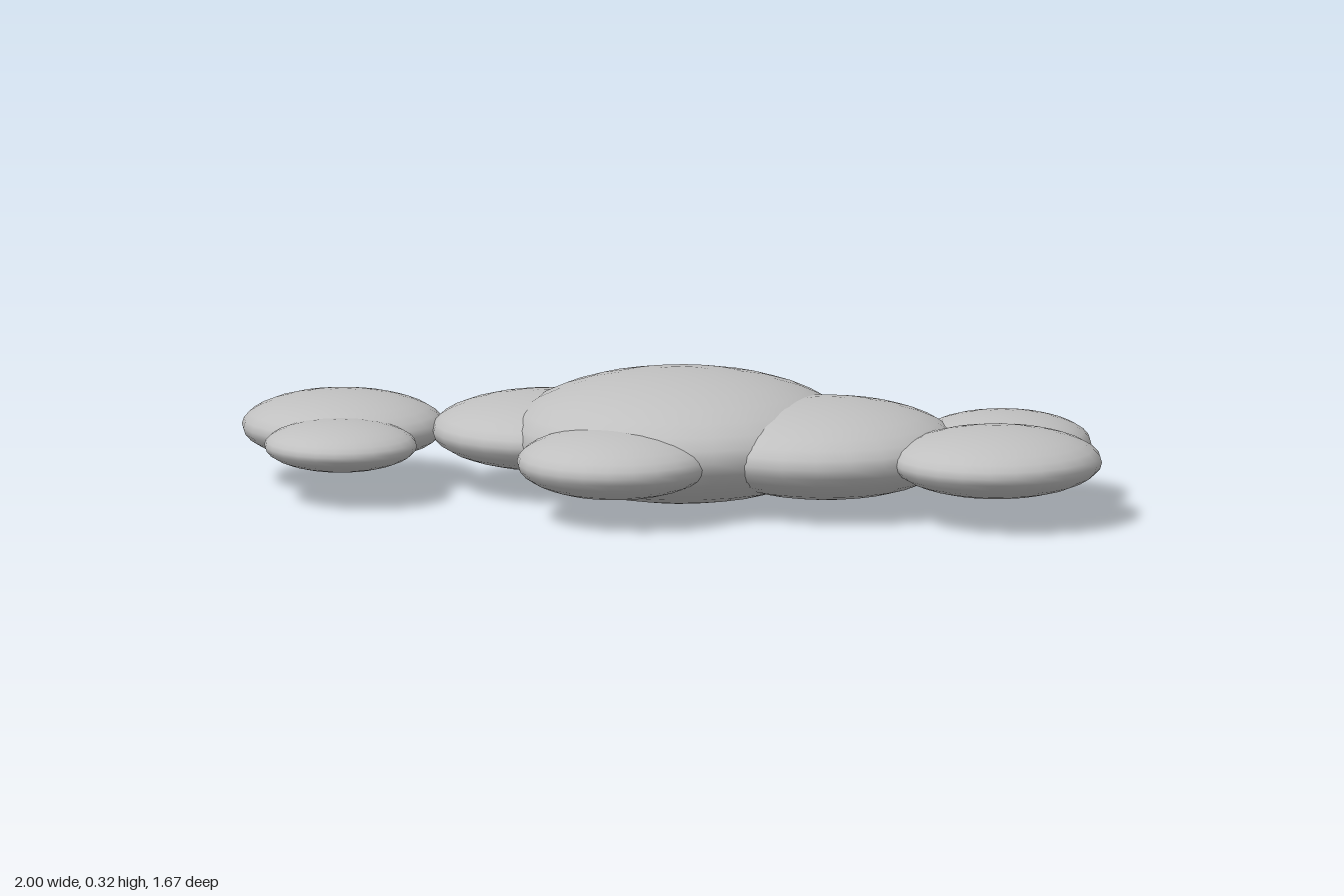
import * as THREE from 'three';

export function createModel() {
  const group = new THREE.Group();
  const grey = new THREE.MeshStandardMaterial({ color: 0xc0c0c0 });
  grey.name = 'soft grey';

  // One unit sphere, flattened and placed for every lobe
  const sphere = new THREE.SphereGeometry(1, 24, 16);

  // name, centre x y z, horizontal radius, half height
  const lobes = [
    ['mainBody', -0.035, 0.16, -0.04, 0.432, 0.16],
    ['leftShoulder', 0.3, 0.15, -0.23, 0.338, 0.12],
    ['rightShoulder', -0.345, 0.15, 0.13, 0.296, 0.093],
    ['frontLobe', 0.093, 0.145, 0.29, 0.247, 0.086],
    ['leftOuterLobe', 0.735, 0.152, -0.42, 0.265, 0.084],
    ['leftSmallLobe', 0.535, 0.148, -0.61, 0.225, 0.079],
    ['rightOuterLobe', -0.745, 0.146, 0.467, 0.255, 0.085],
    ['rightSmallLobe', -0.555, 0.141, 0.64, 0.192, 0.061],
  ];

  for (const [name, x, y, z, radius, halfHeight] of lobes) {
    const lobe = new THREE.Mesh(sphere, grey);
    lobe.name = name;
    lobe.position.set(x, y, z);
    lobe.scale.set(radius, halfHeight, radius);
    group.add(lobe);
  }
  return group;
}
